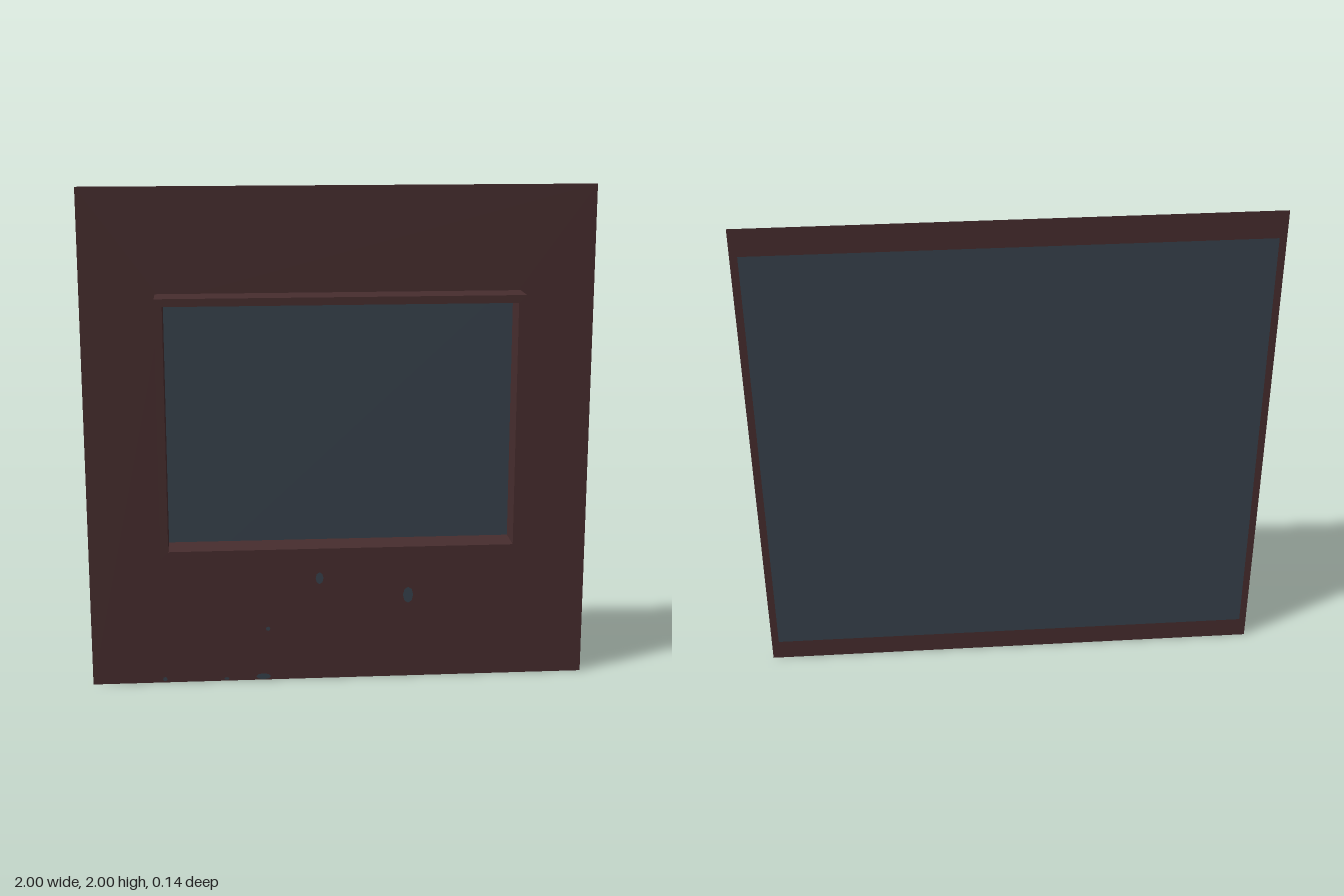
import * as THREE from 'three';

const WALL_Z = -0.06, FRONT_Z = 0.07, PANE_Z = -0.07;

// Closed rectangle path from its edges
function rect(Type, x0, y0, x1, y1) {
  const p = new Type();
  p.moveTo(x0, y0);
  p.lineTo(x1, y0);
  p.lineTo(x1, y1);
  p.lineTo(x0, y1);
  p.closePath();
  return p;
}

export function createModel() {
  const group = new THREE.Group();
  const brown = new THREE.MeshStandardMaterial({ color: 0x472d2e, side: THREE.DoubleSide });
  brown.name = 'dark brown wood';
  const slate = new THREE.MeshStandardMaterial({ color: 0x37424c, side: THREE.DoubleSide });
  slate.name = 'slate blue glass';

  const add = (name, geometry, material, x = 0, y = 0, z = 0) => {
    const mesh = new THREE.Mesh(geometry, material);
    mesh.name = name;
    mesh.position.set(x, y, z);
    group.add(mesh);
    return mesh;
  };

  // Thin square wall with the window opening
  const wall = rect(THREE.Shape, -1, 0, 1, 2);
  wall.holes.push(rect(THREE.Path, -0.68, 0.595, 0.68, 1.56));
  add('wall', new THREE.ShapeGeometry(wall), brown, 0, 0, WALL_Z);

  // Deep frame standing out from the wall
  const frame = rect(THREE.Shape, -0.71, 0.56, 0.71, 1.59);
  frame.holes.push(rect(THREE.Path, -0.68, 0.595, 0.68, 1.56));
  add('windowFrame', new THREE.ExtrudeGeometry(frame, { depth: FRONT_Z - WALL_Z, bevelEnabled: false }),
    brown, 0, 0, WALL_Z);

  // Large pane behind the wall
  add('pane', new THREE.PlaneGeometry(1.94, 1.8), slate, 0, 0.995, PANE_Z);

  // Small worn spots on the wall: x, y, half width, half height
  const spots = [
    [-0.08, 0.43, 0.016, 0.025], [0.28, 0.35, 0.021, 0.034], [-0.29, 0.22, 0.009, 0.009],
    [-0.31, 0.015, 0.03, 0.013], [-0.71, 0.015, 0.009, 0.009], [-0.46, 0.01, 0.01, 0.006],
  ];
  for (const [x, y, w, h] of spots) {
    add('wornSpot', new THREE.CircleGeometry(1, 8), slate, x, y, WALL_Z + 0.002).scale.set(w, h, 1);
  }
  return group;
}
